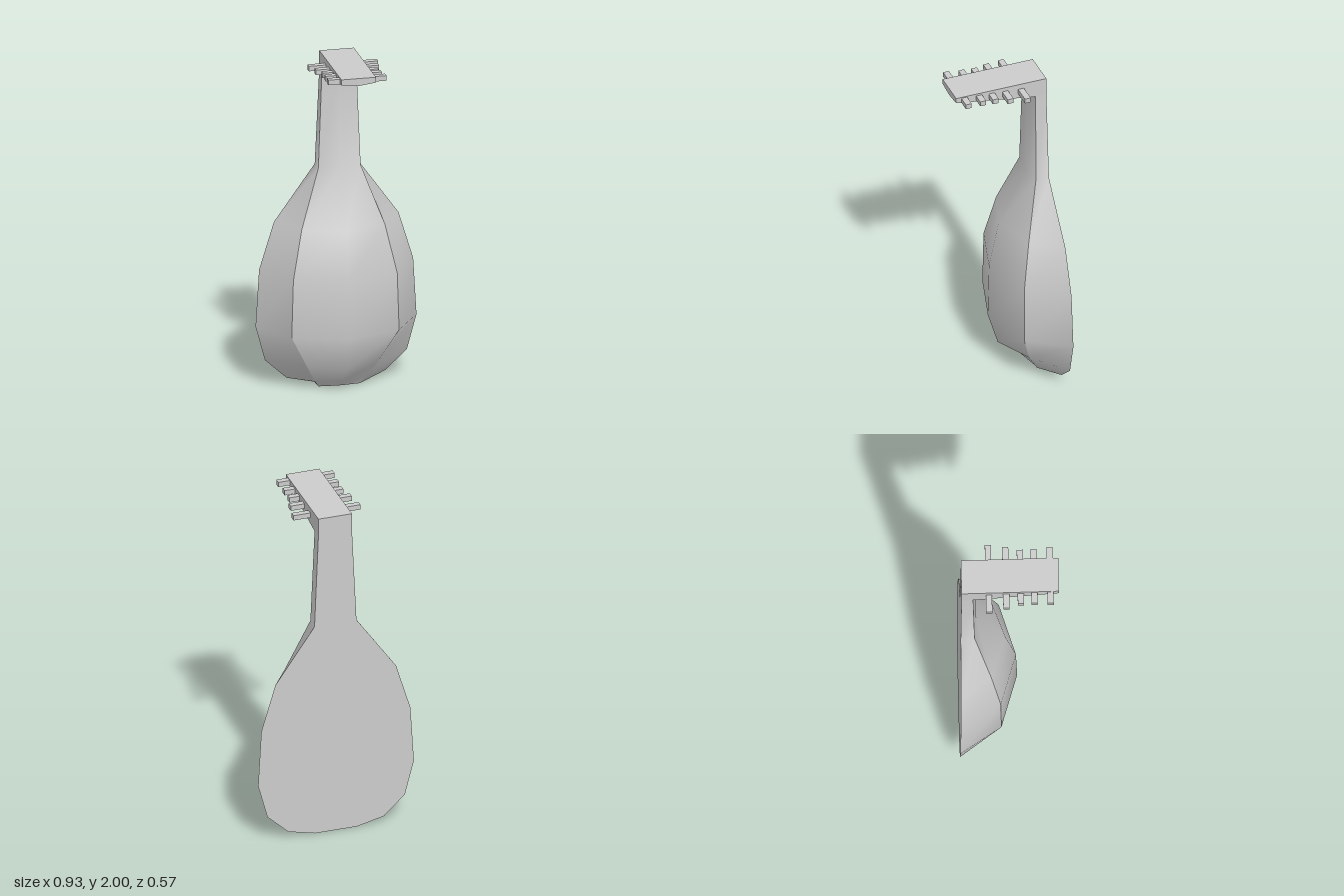
import * as THREE from 'three';

const grey = new THREE.MeshStandardMaterial({ color: 0xcccccc, side: THREE.DoubleSide });

// Smooth panel through rows of points; neighbouring panels stay creased
function panel(name, rows) {
  const n = rows[0].length;
  const index = [];
  for (let i = 0; i < rows.length - 1; i++) {
    for (let j = 0; j < n - 1; j++) {
      const a = i * n + j, b = a + 1, c = b + n, d = a + n;
      index.push(a, b, c, a, c, d);
    }
  }
  const geo = new THREE.BufferGeometry();
  geo.setAttribute('position', new THREE.Float32BufferAttribute(rows.flat(2), 3));
  geo.setIndex(index);
  geo.computeVertexNormals();
  const mesh = new THREE.Mesh(geo, grey);
  mesh.name = name;
  return mesh;
}

// Body and neck: [height, board half width, rib half width, rib z, middle z]
const BODY = [
  [0.003, 0.125, 0.12, -0.2, -0.19],
  [0.04, 0.285, 0.145, -0.18, -0.145],
  [0.155, 0.41, 0.205, -0.115, -0.01],
  [0.36, 0.465, 0.31, -0.045, 0.05],
  [0.7, 0.445, 0.3, -0.048, 0.043],
  [0.98, 0.36, 0.24, -0.1, -0.015],
  [1.31, 0.125, 0.122, -0.192, -0.18],
  [1.88, 0.1, 0.1, -0.2, -0.19],
];
const boardZ = (y) => -0.282 + 0.009 * y;

function makeBody() {
  const g = new THREE.Group();
  g.name = 'bodyAndNeck';
  const board = BODY.map(([y, w]) => [[w, y, boardZ(y)], [0, y, boardZ(y)], [-w, y, boardZ(y)]]);
  const bowl = BODY.map(([y, , r, zr, zc]) => [[-r, y, zr], [0, y, zc], [r, y, zr]]);
  g.add(panel('soundboard', board), panel('bowlFront', bowl));
  g.add(panel('bowlLeftSide', bowl.map((b, i) => [b[2], board[i][0]])));
  g.add(panel('bowlRightSide', bowl.map((b, i) => [board[i][2], b[0]])));
  g.add(panel('bowlBottom', [[...board[0]].reverse(), bowl[0]]));
  return g;
}

// Pegbox: [z, top, lower edge, keel], from the neck to the tip
const HEAD = [
  [-0.265, 1.986, 1.88, 1.88],
  [-0.19, 1.988, 1.88, 1.866],
  [0.284, 2.0, 1.968, 1.956],
];

function makePegbox() {
  const g = new THREE.Group();
  g.name = 'pegbox';
  const w = 0.1;
  const under = HEAD.map(([z, , lo, keel]) => [[-w, lo, z], [0, keel, z], [w, lo, z]]);
  const top = HEAD.map(([z, hi]) => [[w, hi, z], [0, hi, z], [-w, hi, z]]);
  const last = HEAD.length - 1;
  g.add(panel('pegboxTop', top), panel('pegboxUnderside', under));
  g.add(panel('pegboxLeftSide', under.map((u, i) => [u[2], top[i][0]])));
  g.add(panel('pegboxRightSide', under.map((u, i) => [top[i][2], u[0]])));
  g.add(panel('pegboxTip', [under[last], [...top[last]].reverse()]));
  g.add(panel('pegboxBack', [[...under[0]].reverse(), top[0]]));
  return g;
}

// Pegs: [z, height, reach from the middle]
const PEGS = [
  [0.235, 1.978, 0.168],
  [0.145, 1.969, 0.162],
  [0.068, 1.961, 0.161],
  [-0.014, 1.953, 0.182],
  [-0.111, 1.943, 0.2],
];

function makePegs() {
  const g = new THREE.Group();
  g.name = 'tuningPegs';
  for (const [z, y, reach] of PEGS) {
    for (const side of [1, -1]) {
      const len = reach - 0.09;
      const peg = new THREE.Mesh(new THREE.BoxGeometry(len, 0.03, 0.035), grey);
      peg.name = side > 0 ? 'leftPeg' : 'rightPeg';
      peg.position.set(side * (reach - len / 2), y, z);
      g.add(peg);
    }
  }
  return g;
}

export function createModel() {
  const model = new THREE.Group();
  model.name = 'lute';
  model.add(makeBody(), makePegbox(), makePegs());
  return model;
}
